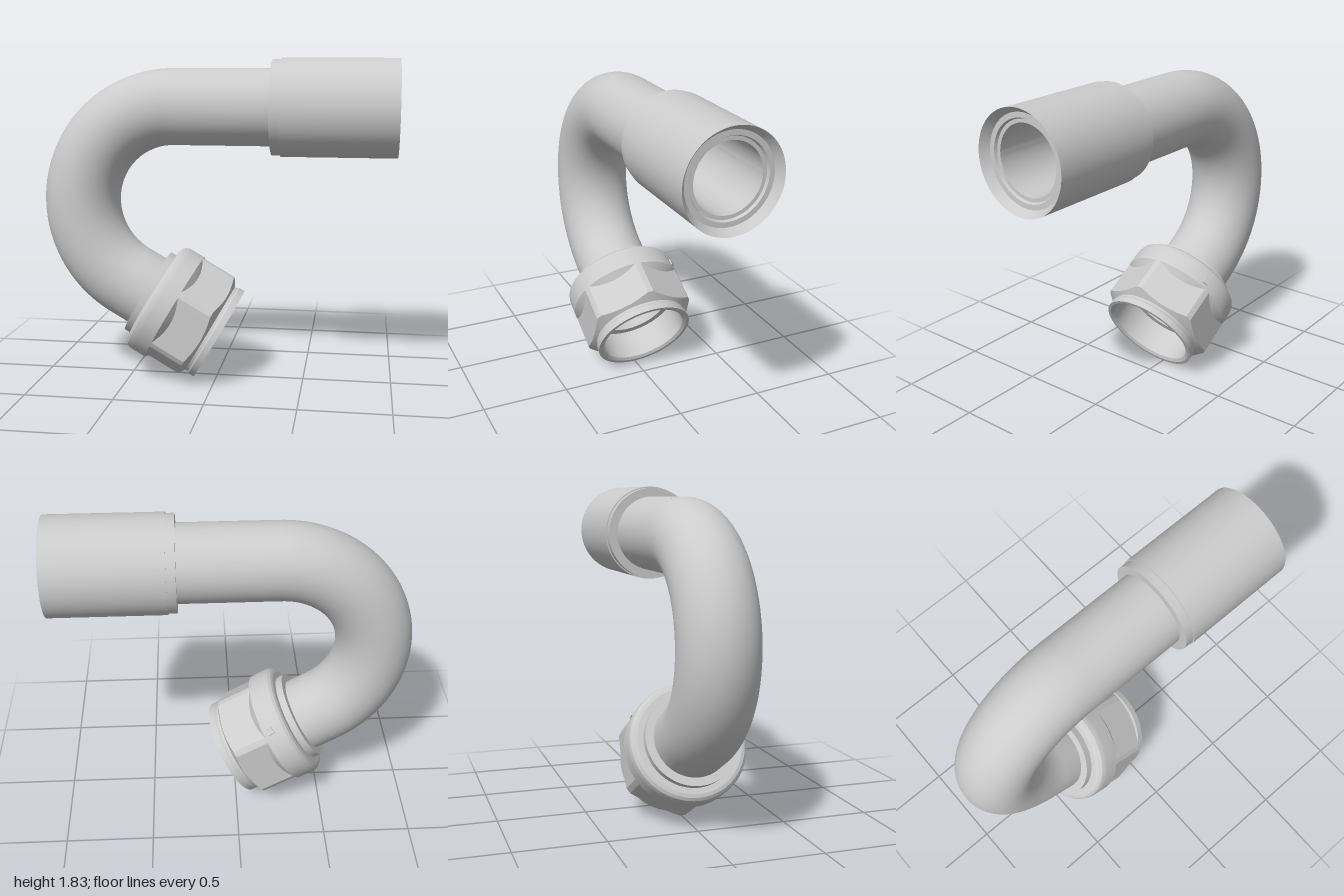
import * as THREE from 'three';
import { toCreasedNormals } from 'three/addons/utils/BufferGeometryUtils.js';

const SEG = 120;
const material = new THREE.MeshStandardMaterial({ color: 0xcccccc, side: THREE.DoubleSide });

const TUBE_R = 0.215, BORE_R = 0.185, BEND_R = 0.54;
const BEND = new THREE.Vector2(-0.245, 1.03); // bend centre
const HEX = 0.2985, ROUND = 0.335; // nut: half across flats, turned radius

function add(parent, name, geometry) {
  const mesh = new THREE.Mesh(geometry, material);
  mesh.name = name;
  parent.add(mesh);
  return mesh;
}

// Turned part around local y; profile is [position along axis, radius]
function turned(profile) {
  const points = profile.map(([t, r]) => new THREE.Vector2(r, t));
  return toCreasedNormals(new THREE.LatheGeometry(points, SEG), 0.3);
}

// Hexagon flats cut into a round bar, with scalloped run-outs and a front chamfer
function hexBody() {
  const positions = [], index = [], rows = 4;
  for (let i = 0; i <= SEG; i++) {
    const a = (i / SEG) * Math.PI * 2;
    const fromFlat = a - Math.round(a / (Math.PI / 3)) * (Math.PI / 3);
    const h = Math.min(ROUND, HEX / Math.cos(fromFlat));
    const column = [
      [0.305, ROUND],
      [0.305 + (ROUND - h), h],
      [0.513 + (ROUND - h) * 0.56, h],
      [0.545, 0.278],
    ];
    for (const [t, r] of column) positions.push(r * Math.sin(a), t, r * Math.cos(a));
  }
  for (let i = 0; i < SEG; i++) {
    for (let j = 0; j < rows - 1; j++) {
      const p = i * rows + j, q = p + rows;
      index.push(p, q, q + 1, p, q + 1, p + 1);
    }
  }
  const geometry = new THREE.BufferGeometry();
  geometry.setAttribute('position', new THREE.Float32BufferAttribute(positions, 3));
  geometry.setIndex(index);
  return toCreasedNormals(geometry, 0.25);
}

export function createModel() {
  const model = new THREE.Group();
  model.name = 'bentHoseFitting';

  // Bend: 150 degrees of outer wall and bore
  for (const [name, r] of [['bendWall', TUBE_R], ['bendBore', BORE_R]]) {
    const bend = add(model, name, new THREE.TorusGeometry(BEND_R, r, 64, 96, Math.PI * 5 / 6));
    bend.rotation.z = Math.PI / 2;
    bend.position.set(BEND.x, BEND.y, 0);
  }

  // Straight end, local y running along +x
  const hoseEnd = new THREE.Group();
  hoseEnd.name = 'hoseEnd';
  hoseEnd.position.y = BEND.y + BEND_R;
  hoseEnd.rotation.z = -Math.PI / 2;
  model.add(hoseEnd);
  add(hoseEnd, 'straightTube', turned([[BEND.x, TUBE_R], [0.32, TUBE_R]]));
  add(hoseEnd, 'straightBore', turned([[0.94, BORE_R], [BEND.x, BORE_R]]));
  add(hoseEnd, 'sleeve', turned([
    [0.31, TUBE_R], [0.31, 0.265], [0.36, 0.265], [0.36, 0.272], [1, 0.272],
    [0.955, 0.24], [0.955, 0.212], [0.94, 0.205], [0.94, BORE_R],
  ]));

  // Nut end, local y running out of the bend
  const nutEnd = new THREE.Group();
  nutEnd.name = 'nutEnd';
  const end = Math.PI * 4 / 3;
  nutEnd.position.set(BEND.x + BEND_R * Math.cos(end), BEND.y + BEND_R * Math.sin(end), 0);
  nutEnd.rotation.z = -Math.PI * 2 / 3;
  model.add(nutEnd);
  add(nutEnd, 'nutTube', turned([[0, TUBE_R], [0.18, TUBE_R]]));
  add(nutEnd, 'nutBore', turned([[0.34, BORE_R], [0, BORE_R]]));
  add(nutEnd, 'collar', turned([[0.125, TUBE_R], [0.125, 0.261], [0.168, 0.261]]));
  add(nutEnd, 'nutShoulder', turned([
    [0.166, 0.25], [0.166, 0.295], [0.172, 0.314], [0.186, 0.328], [0.205, 0.334],
    [0.225, ROUND], [0.305, ROUND],
  ]));
  add(nutEnd, 'nutHexagon', hexBody());
  add(nutEnd, 'nutRim', turned([
    [0.545, 0.278], [0.56, 0.28], [0.57, 0.287], [0.606, 0.287], [0.606, 0.268],
    [0.595, 0.25], [0.42, 0.25],
  ]));
  add(nutEnd, 'sealingSeat', turned([[0.42, 0.25], [0.42, 0.21], [0.34, BORE_R]]));

  // Small diamond mark on the nut shoulder
  const a = Math.atan2(-0.195, -0.265);
  const mark = add(nutEnd, 'diamondMark',
    toCreasedNormals(new THREE.CylinderGeometry(0.024, 0.028, 0.012, 4), 0.3));
  mark.position.set(ROUND * Math.sin(a), 0.262, ROUND * Math.cos(a));
  mark.quaternion.setFromUnitVectors(
    new THREE.Vector3(0, 1, 0), new THREE.Vector3(Math.sin(a), 0, Math.cos(a)));

  return model;
}
